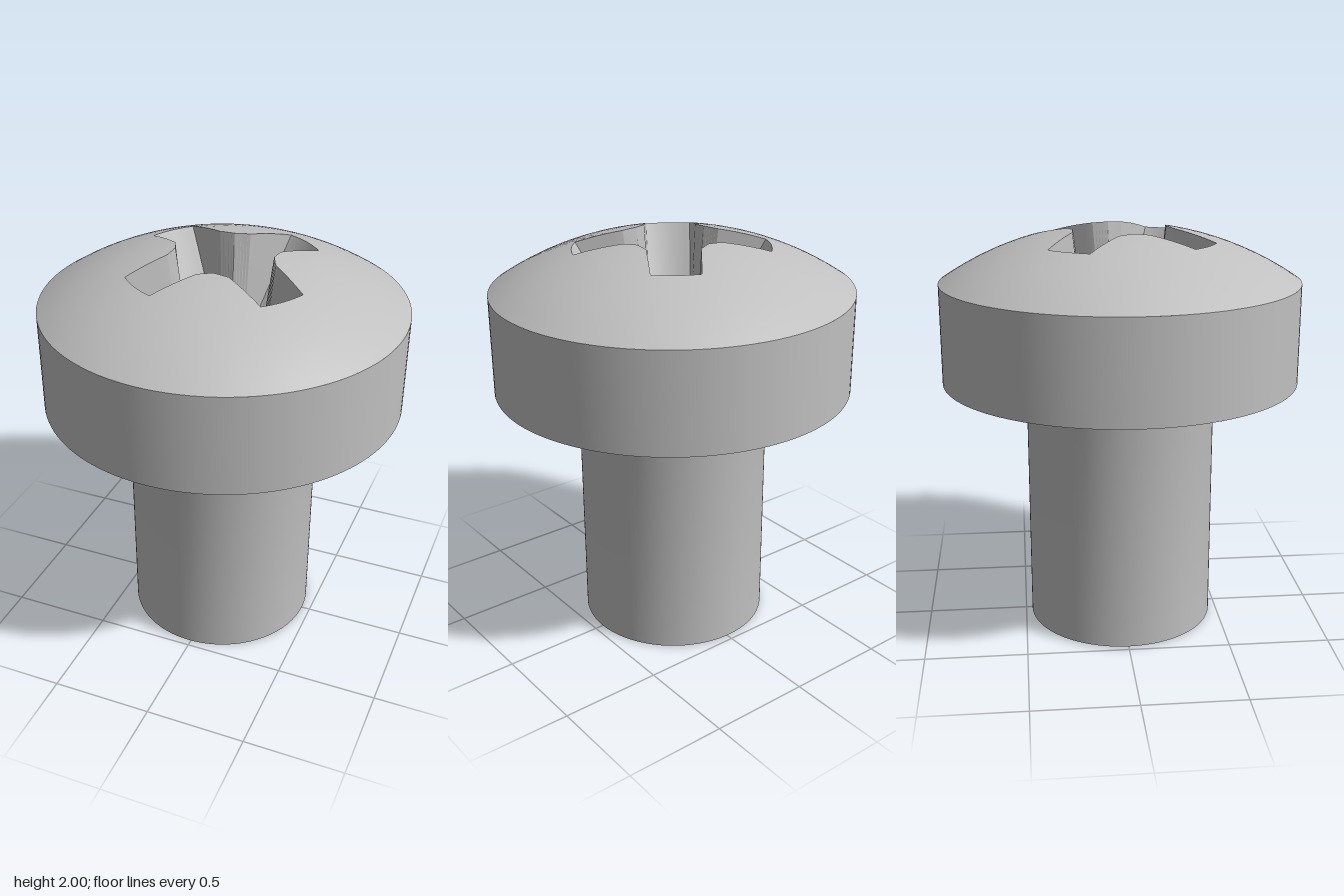
import * as THREE from 'three';
import { toCreasedNormals } from 'three/addons/utils/BufferGeometryUtils.js';

const HEAD_R = 0.878, HEAD_Y = 1.262, RIM_Y = 1.749;
const SHANK_R = 0.468, DOME_R = 1.577, DOME_TOP = 2.016;
const FLOOR_Y = 1.42, TIP_Y = 1.37, FLOOR_R = 0.203;

const domeY = (r) => DOME_TOP - DOME_R + Math.sqrt(DOME_R * DOME_R - r * r);
const coneY = (r) => TIP_Y + (FLOOR_Y - TIP_Y) * r / FLOOR_R;

// Skin closed rings of points, ordered from the inside outwards
function skin(rings) {
  const n = rings[0].length, index = [];
  for (let k = 0; k < rings.length - 1; k++) {
    for (let i = 0; i < n; i++) {
      const j = (i + 1) % n, a = k * n, b = a + n;
      index.push(a + i, a + j, b + i, a + j, b + j, b + i);
    }
  }
  const geo = new THREE.BufferGeometry().setFromPoints(rings.flat());
  geo.setIndex(index);
  geo.computeVertexNormals();
  return geo;
}

// Half of one wing of the cross: pairs of plan points [mouth, floor], from wing axis to notch
function halfWing() {
  const V = (x, y) => new THREE.Vector2(x, y);
  const mouthCorner = V(0.23, 0.125), floorCorner = V(0.177, 0.097);
  const endAngle = Math.atan2(0.112, 0.46), floorAngle = Math.atan2(0.097, 0.177);
  const end = V(0.474 * Math.cos(endAngle), 0.474 * Math.sin(endAngle));
  const mouthMid = V(0.232, 0.232).multiplyScalar(Math.SQRT1_2);
  const floorMid = V(0.157, 0.157).multiplyScalar(Math.SQRT1_2);
  const pairs = [];
  for (let i = 0; i <= 5; i++) {                     // rounded wing end
    const a = endAngle * i / 5, b = floorAngle * i / 5, f = floorCorner.length();
    pairs.push([V(0.474 * Math.cos(a), 0.474 * Math.sin(a)), V(f * Math.cos(b), f * Math.sin(b))]);
  }
  for (let i = 1; i <= 5; i++)                       // wing side
    pairs.push([end.clone().lerp(mouthCorner, i / 5), floorCorner.clone()]);
  for (let i = 1; i <= 5; i++)                       // notch between wings
    pairs.push([mouthCorner.clone().lerp(mouthMid, i / 5), floorCorner.clone().lerp(floorMid, i / 5)]);
  return pairs;
}

// Full cross outline, mirrored and repeated four times
function crossOutline() {
  const half = halfWing();
  const mirrored = half.slice(1, -1).reverse()
    .map((pair) => pair.map((p) => new THREE.Vector2(p.x, -p.y)));
  const wing = [...half.slice(-1).map((pair) => pair.map((p) => new THREE.Vector2(p.x, -p.y))), ...mirrored, ...half.slice(0, -1)];
  const out = [], origin = new THREE.Vector2();
  for (let q = 0; q < 4; q++) {
    const turn = -0.956 + q * Math.PI / 2;
    for (const pair of wing) out.push(pair.map((p) => p.clone().rotateAround(origin, turn)));
  }
  return out;
}

export function createModel() {
  const steel = new THREE.MeshStandardMaterial({ color: 0xc0c0c0 });
  steel.name = 'steel grey';
  const model = new THREE.Group();
  model.name = 'screw';
  const add = (name, geo) => {
    const mesh = new THREE.Mesh(geo, steel);
    mesh.name = name;
    model.add(mesh);
  };
  const lathe = (points) => toCreasedNormals(
    new THREE.LatheGeometry(points.map(([x, y]) => new THREE.Vector2(x, y)), 128), 0.6);

  // Shank with a small fillet under the head
  const shank = [[0, 0], [SHANK_R, 0], [SHANK_R, 1.238]];
  for (let i = 1; i <= 4; i++) {
    const a = i / 4 * Math.PI / 2;
    shank.push([SHANK_R + 0.024 * (1 - Math.cos(a)), 1.238 + 0.024 * Math.sin(a)]);
  }
  add('shank', lathe(shank));

  // Head underside and straight side
  add('headSide', lathe([[0.48, HEAD_Y], [HEAD_R, HEAD_Y], [HEAD_R, RIM_Y]]));

  // Domed top, stretched from the cross-shaped mouth to the rim
  const outline = crossOutline();
  const domeRings = [];
  for (let k = 0; k <= 10; k++) {
    domeRings.push(outline.map(([m]) => {
      const r0 = m.length(), r = r0 + (HEAD_R - r0) * k / 10;
      return new THREE.Vector3(m.x / r0 * r, domeY(r), m.y / r0 * r);
    }));
  }
  add('headDome', skin(domeRings));

  // Recess: tapered cross walls and a shallow conical floor
  const mouth = domeRings[0];
  const floor = outline.map(([, f]) => new THREE.Vector3(f.x, coneY(f.length()), f.y));
  const tip = outline.map(() => new THREE.Vector3(0, TIP_Y, 0));
  add('recessWalls', toCreasedNormals(skin([floor, mouth]), 0.3));
  add('recessFloor', skin([tip, floor]));

  // Slight lean of the whole screw
  model.rotation.z = -0.0068;
  model.position.set(-0.012, 0.003, 0);
  return model;
}
